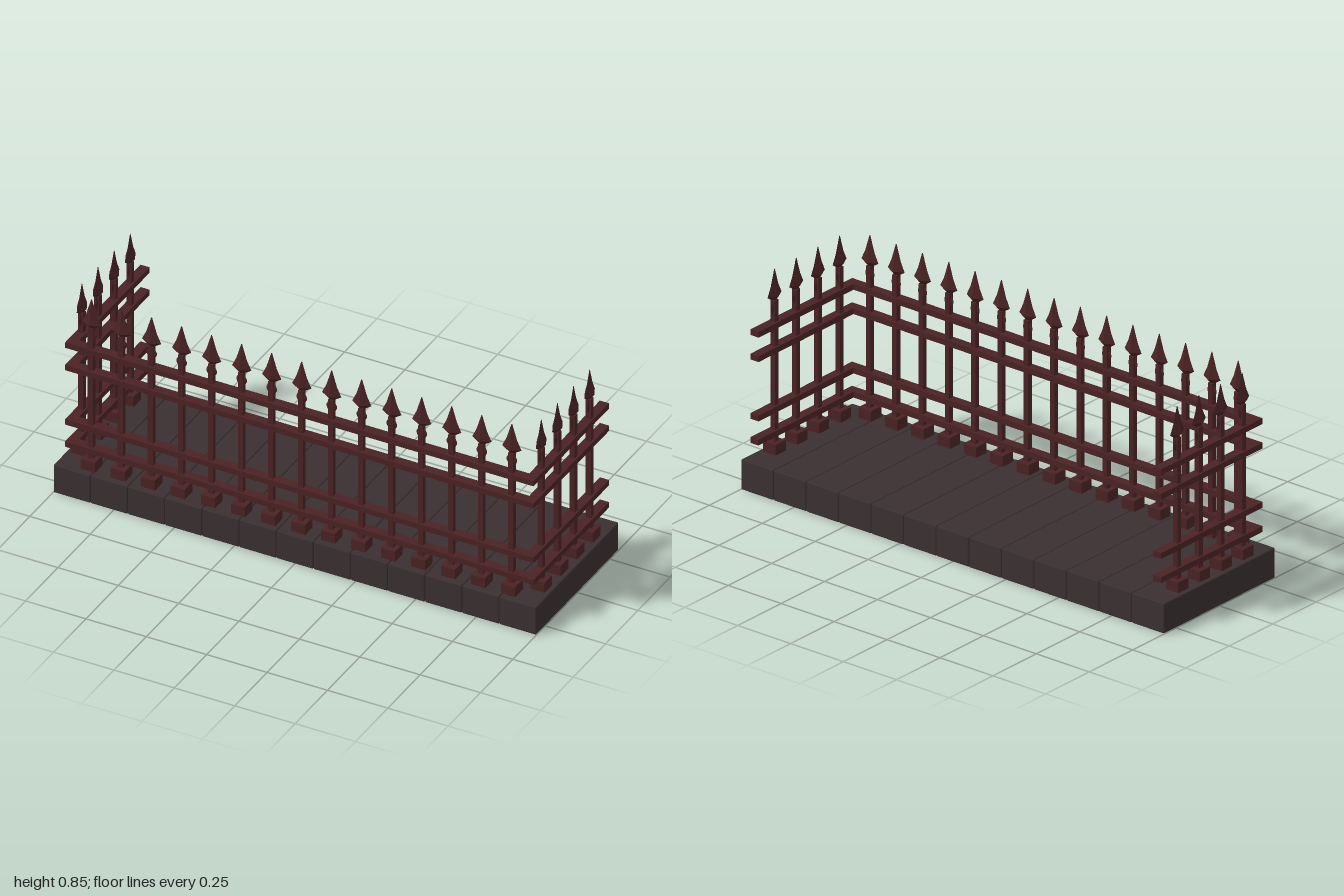
import * as THREE from 'three';
import { RoundedBoxGeometry } from 'three/addons/geometries/RoundedBoxGeometry.js';

export function createModel() {
  const model = new THREE.Group();
  model.name = 'fencedPlatform';
  const iron = new THREE.MeshStandardMaterial({ color: 0x4a2224 });
  iron.name = 'rusty iron';
  const stone = new THREE.MeshStandardMaterial({ color: 0x3a3031 });
  stone.name = 'dark slab';

  const add = (parent, name, geometry, material, x, y, z) => {
    const mesh = new THREE.Mesh(geometry, material);
    mesh.name = name;
    mesh.position.set(x, y, z);
    parent.add(mesh);
    return mesh;
  };

  // Flattened four-sided turned shape with hard facets
  const facetted = (profile) => {
    const points = profile.map(([r, y]) => new THREE.Vector2(r, y));
    const geometry = new THREE.LatheGeometry(points, 4).scale(1, 1, 0.5).toNonIndexed();
    geometry.computeVertexNormals();
    return geometry;
  };

  // Floor of thirteen slabs with chamfered edges
  const slabCount = 13;
  const slabWidth = 2 / slabCount;
  const slab = new RoundedBoxGeometry(slabWidth - 0.001, 0.121, 0.64, 1, 0.005);
  for (let i = 0; i < slabCount; i++) {
    add(model, 'floorSlab', slab, stone, -1 + (i + 0.5) * slabWidth, 0.0605, 0);
  }

  // One fence post: foot, shaft, knob and spearhead
  const foot = new RoundedBoxGeometry(0.06, 0.046, 0.06, 1, 0.002);
  const shaft = new THREE.BoxGeometry(0.021, 0.575, 0.021);
  const knob = facetted([[0, 0.67], [0.011, 0.672], [0.0215, 0.692], [0.0215, 0.702], [0.011, 0.724], [0, 0.726]]);
  const spear = facetted([[0, 0.727], [0.012, 0.729], [0.04, 0.748], [0.022, 0.786], [0.011, 0.822], [0.002, 0.852], [0, 0.853]]);
  const addPost = (x, z, turn) => {
    const post = new THREE.Group();
    post.name = 'fencePost';
    post.position.set(x, 0, z);
    post.rotation.y = turn;
    add(post, 'foot', foot, iron, 0, 0.141, 0);
    add(post, 'shaft', shaft, iron, 0, 0.4425, 0);
    add(post, 'knob', knob, iron, 0, 0, 0);
    add(post, 'spearhead', spear, iron, 0, 0, 0);
    model.add(post);
  };

  // Front row, then both side rows
  const frontZ = 0.265;
  const sideX = 0.951;
  for (let i = 0; i < 15; i++) addPost((i - 7) * 0.1243, frontZ, 0);
  for (const side of [-1, 1]) {
    for (let i = 0; i < 4; i++) addPost(side * sideX, 0.189 - i * 0.1247, Math.PI / 2);
  }

  // Four rails running round three sides, open at the back
  const frontRail = new THREE.BoxGeometry(1.94, 0.023, 0.038);
  const sideRail = new THREE.BoxGeometry(0.038, 0.023, 0.546);
  for (const y of [0.2, 0.297, 0.535, 0.633]) {
    add(model, 'frontRail', frontRail, iron, 0, y, frontZ);
    for (const side of [-1, 1]) add(model, 'sideRail', sideRail, iron, side * sideX, y, -0.027);
  }

  return model;
}
